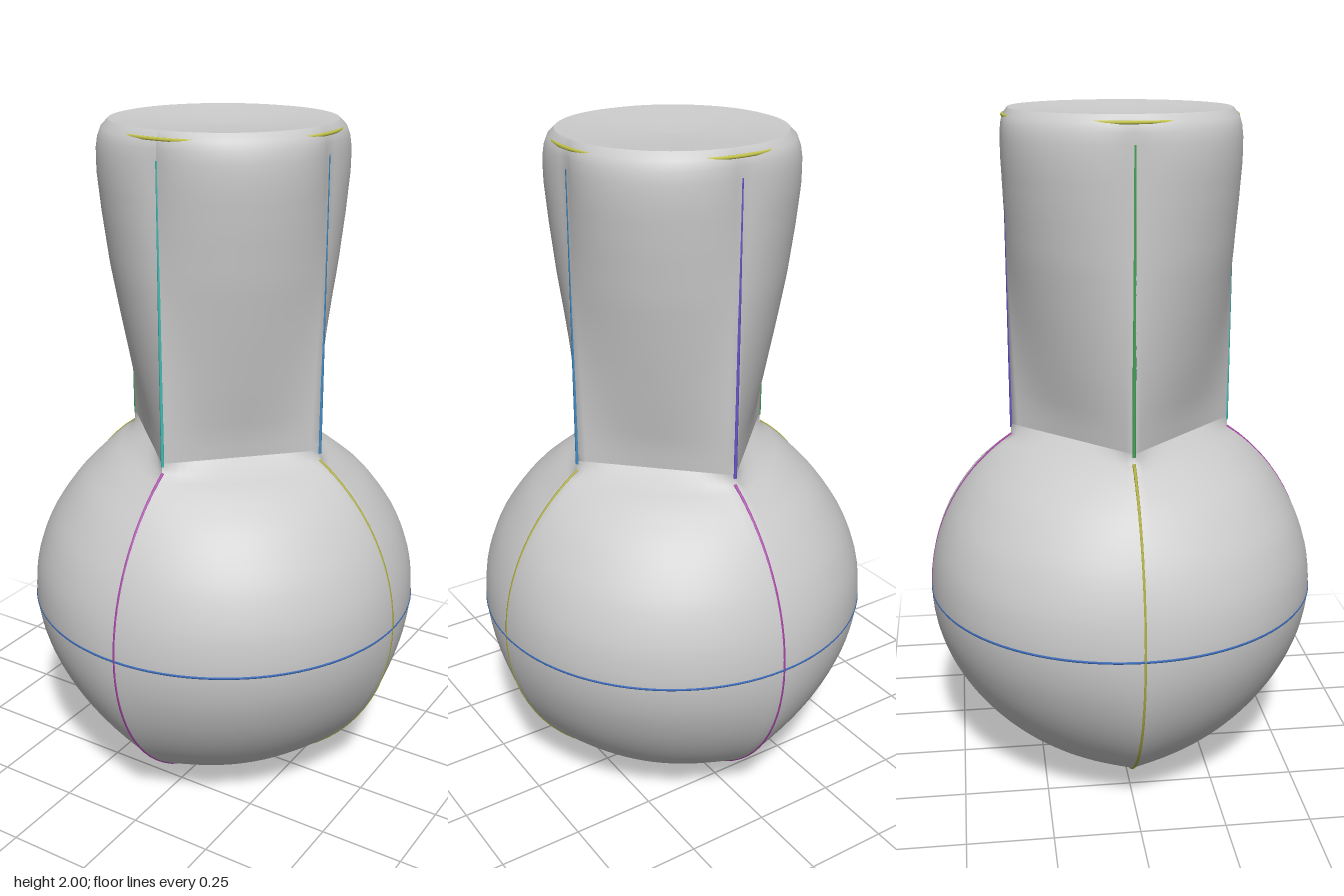
import * as THREE from 'three';

const CY = 0.58, R = 0.577, NECK = 0.325;

// Interpolate a list of [position, value] stops
function ramp(stops, y) {
  if (y <= stops[0][0]) return stops[0][1];
  for (let i = 1; i < stops.length; i++) {
    const [y0, a] = stops[i - 1], [y1, b] = stops[i];
    if (y <= y1) return a + (b - a) * (y - y0) / (y1 - y0);
  }
  return stops[stops.length - 1][1];
}

// Lathe whose round section blends toward a four-cornered one (negative stops bulge between the corners)
function stretchedLathe(name, points, stops, material) {
  const geo = new THREE.LatheGeometry(points, 96);
  const p = geo.attributes.position;
  for (let i = 0; i < p.count; i++) {
    const x = p.getX(i), z = p.getZ(i), r = Math.hypot(x, z);
    if (r < 1e-6) continue;
    const corner = r / (Math.abs(x) + Math.abs(z));
    const f = 1 + (corner - 1) * ramp(stops, p.getY(i));
    p.setX(i, x * f);
    p.setZ(i, z * f);
  }
  geo.computeVertexNormals();
  const mesh = new THREE.Mesh(geo, material);
  mesh.name = name;
  return mesh;
}

export function createModel() {
  const group = new THREE.Group();
  const grey = new THREE.MeshStandardMaterial({ color: 0xcccccc, side: THREE.DoubleSide });

  // Round body, with skin pulled slightly flatter between the four ribs
  const start = -Math.PI / 2, end = Math.acos(NECK / R);
  const bodyPoints = [];
  for (let i = 0; i <= 48; i++) {
    const a = start + (end - start) * i / 48;
    bodyPoints.push(new THREE.Vector2(Math.max(0, R * Math.cos(a)), CY + CY * Math.sin(a)));
  }
  bodyPoints.push(new THREE.Vector2(NECK, 1.09));
  const bodyStops = [[0, 0.52], [0.08, 0.44], [0.2, 0.31], [0.35, 0.17], [0.48, 0.06], [0.58, 0],
    [0.7, -0.02], [0.82, 0.01], [0.95, 0.12], [1.03, 0.35], [1.06, 0.6], [1.09, 1]];
  group.add(stretchedLathe('body', bodyPoints, bodyStops, grey));

  // Neck: four-cornered at the base, swelling to a full round rim
  const neckPoints = [];
  for (let i = 0; i <= 24; i++) neckPoints.push(new THREE.Vector2(NECK, 1.09 + 0.83 * i / 24));
  neckPoints.push(new THREE.Vector2(0.325, 1.95), new THREE.Vector2(0.322, 1.975), new THREE.Vector2(0.31, 1.995));
  const neckStops = [[1.09, 1], [1.16, 0.92], [1.3, 0.62], [1.45, 0.32], [1.6, 0.04], [1.75, -0.16],
    [1.86, -0.27], [1.93, -0.26], [1.97, -0.16], [1.995, -0.05]];
  group.add(stretchedLathe('neck', neckPoints, neckStops, grey));

  // Slightly sunken top
  const topPoints = [[0, 1.975], [0.15, 1.98], [0.25, 1.99], [0.31, 1.995]].map(([x, y]) => new THREE.Vector2(x, y));
  group.add(stretchedLathe('top', topPoints.reverse(), [[0, -0.05]], grey));

  // Thin coloured ribs along the seams
  const thin = 0.005;
  function rib(name, points, color) {
    const curve = new THREE.CatmullRomCurve3(points);
    const mesh = new THREE.Mesh(new THREE.TubeGeometry(curve, 64, thin, 6), new THREE.MeshStandardMaterial({ color }));
    mesh.name = name;
    group.add(mesh);
  }
  function ring(name, radius, y, color) {
    const mesh = new THREE.Mesh(new THREE.TorusGeometry(radius, thin, 6, 96), new THREE.MeshStandardMaterial({ color }));
    mesh.rotation.x = Math.PI / 2;
    mesh.position.y = y;
    mesh.name = name;
    group.add(mesh);
  }
  ring('equatorRing', R - 0.003, CY + 0.005, 0x3f6fc0);
  ring('rimRing', 0.325, 1.975, 0xc8c850);

  const arc = bodyPoints.slice(0, -1);
  [['sideArc', 1, 0, 0xb0b045], ['frontBackArc', 0, 1, 0xa845a8]].forEach(([name, dx, dz, color]) => {
    const at = (v, s) => new THREE.Vector3(s * dx * (v.x - 0.003), Math.max(v.y, thin), s * dz * (v.x - 0.003));
    const path = [...arc].reverse().map(v => at(v, -1)).concat(arc.slice(1).map(v => at(v, 1)));
    rib(name, path, color);
  });

  [['frontNeckRib', 0, 1, 0x45c0b8], ['leftNeckRib', 1, 0, 0x4590c8],
    ['backNeckRib', 0, -1, 0x6a58d0], ['rightNeckRib', -1, 0, 0x48a85a]].forEach(([name, dx, dz, color]) => {
    const r = NECK - 0.003;
    rib(name, [1.08, 1.5, 1.92].map(y => new THREE.Vector3(dx * r, y, dz * r)), color);
  });

  return group;
}
